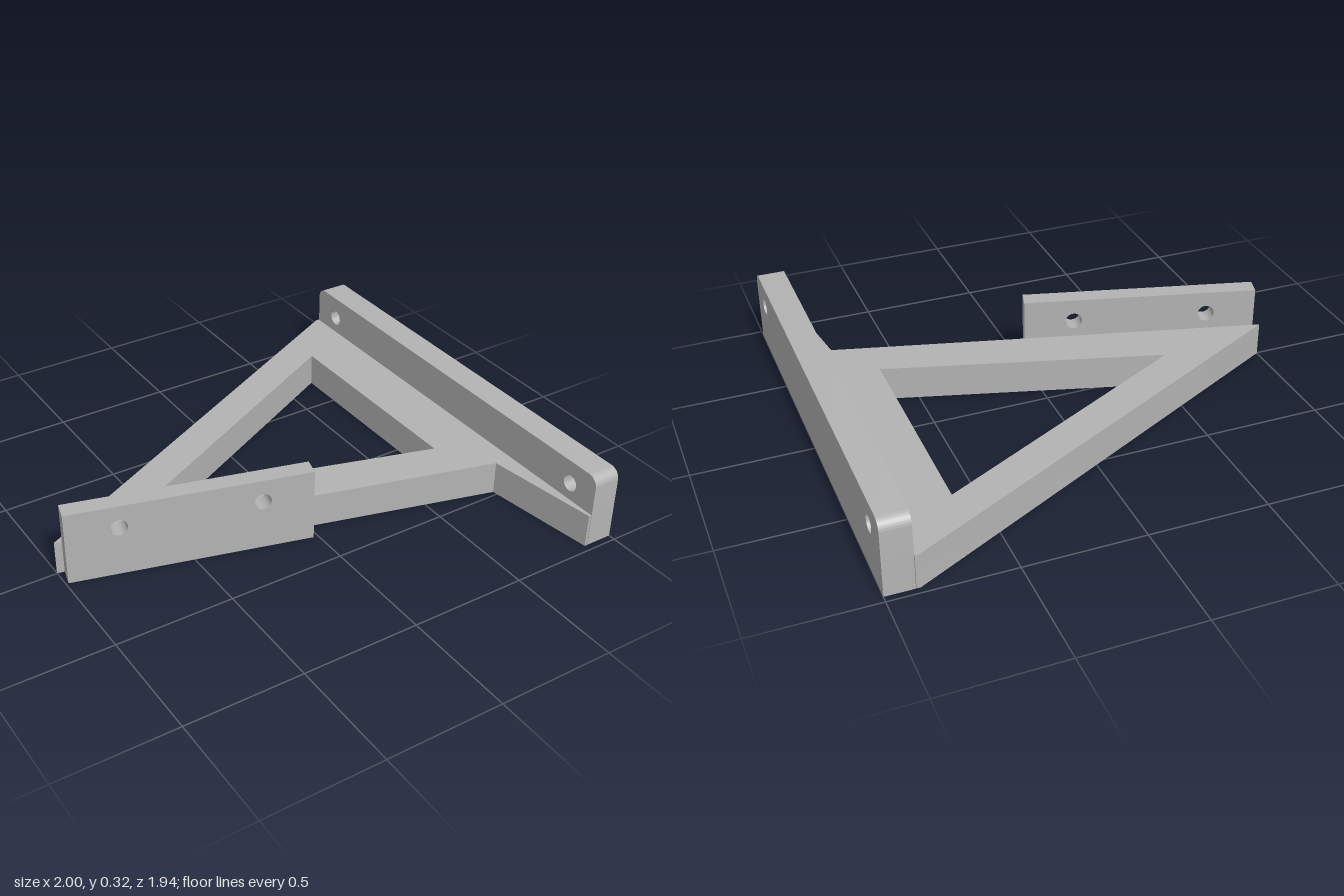
import * as THREE from 'three';
import { toCreasedNormals } from 'three/addons/utils/BufferGeometryUtils.js';

const HEIGHT = 0.32, FRAME_HEIGHT = 0.147;
const HOLE_Y = 0.22, HOLE_RADIUS = 0.036;

const extrude = (shape, depth) => toCreasedNormals(
  new THREE.ExtrudeGeometry(shape, { depth, bevelEnabled: false, curveSegments: 12 }), 0.6);

// Upright plate with two screw holes and optionally rounded top corners
function plateGeometry(length, thickness, radius, holes) {
  const s = new THREE.Shape();
  s.moveTo(0, 0);
  s.lineTo(length, 0);
  s.lineTo(length, HEIGHT - radius);
  if (radius) s.absarc(length - radius, HEIGHT - radius, radius, 0, Math.PI / 2, false);
  else s.lineTo(length, HEIGHT);
  s.lineTo(radius, HEIGHT);
  if (radius) s.absarc(radius, HEIGHT - radius, radius, Math.PI / 2, Math.PI, false);
  for (const x of holes) {
    s.holes.push(new THREE.Path().absarc(x, HOLE_Y, HOLE_RADIUS, 0, Math.PI * 2, true));
  }
  return extrude(s, thickness);
}

export function createModel() {
  const model = new THREE.Group();
  model.name = 'bracket';
  const grey = new THREE.MeshStandardMaterial({ color: 0xb3b3b3 });
  grey.name = 'grey';

  const add = (name, geometry) => {
    const mesh = new THREE.Mesh(geometry, grey);
    mesh.name = name;
    model.add(mesh);
    return mesh;
  };

  // Flat triangular frame, outlined in x and z, with its triangular opening
  const points = (list) => list.map(([x, z]) => new THREE.Vector2(x, -z));
  const outline = new THREE.Shape(points([
    [-1, -0.003], [0.8, 0.479], [0.868, 0.97], [0.88, 0.97], [0.88, -0.972], [0.865, -0.972],
  ]));
  outline.holes.push(new THREE.Path(points([[-0.505, -0.083], [0.65, -0.688], [0.65, 0.252]])));
  add('triangularFrame', extrude(outline, FRAME_HEIGHT).rotateX(-Math.PI / 2));

  // Long mounting plate along the left side
  const longPlate = add('longMountingPlate', plateGeometry(1.942, 0.118, 0.045, [0.14, 1.802]));
  longPlate.rotation.y = -Math.PI / 2;
  longPlate.position.set(1, 0, -0.972);

  // Short mounting plate on the slanted front arm
  const shortPlate = add('shortMountingPlate', plateGeometry(1.004, 0.077, 0, [0.213, 0.791]));
  shortPlate.rotation.y = -Math.PI / 12;
  shortPlate.position.set(-0.97, 0, 0.005);

  return model;
}
